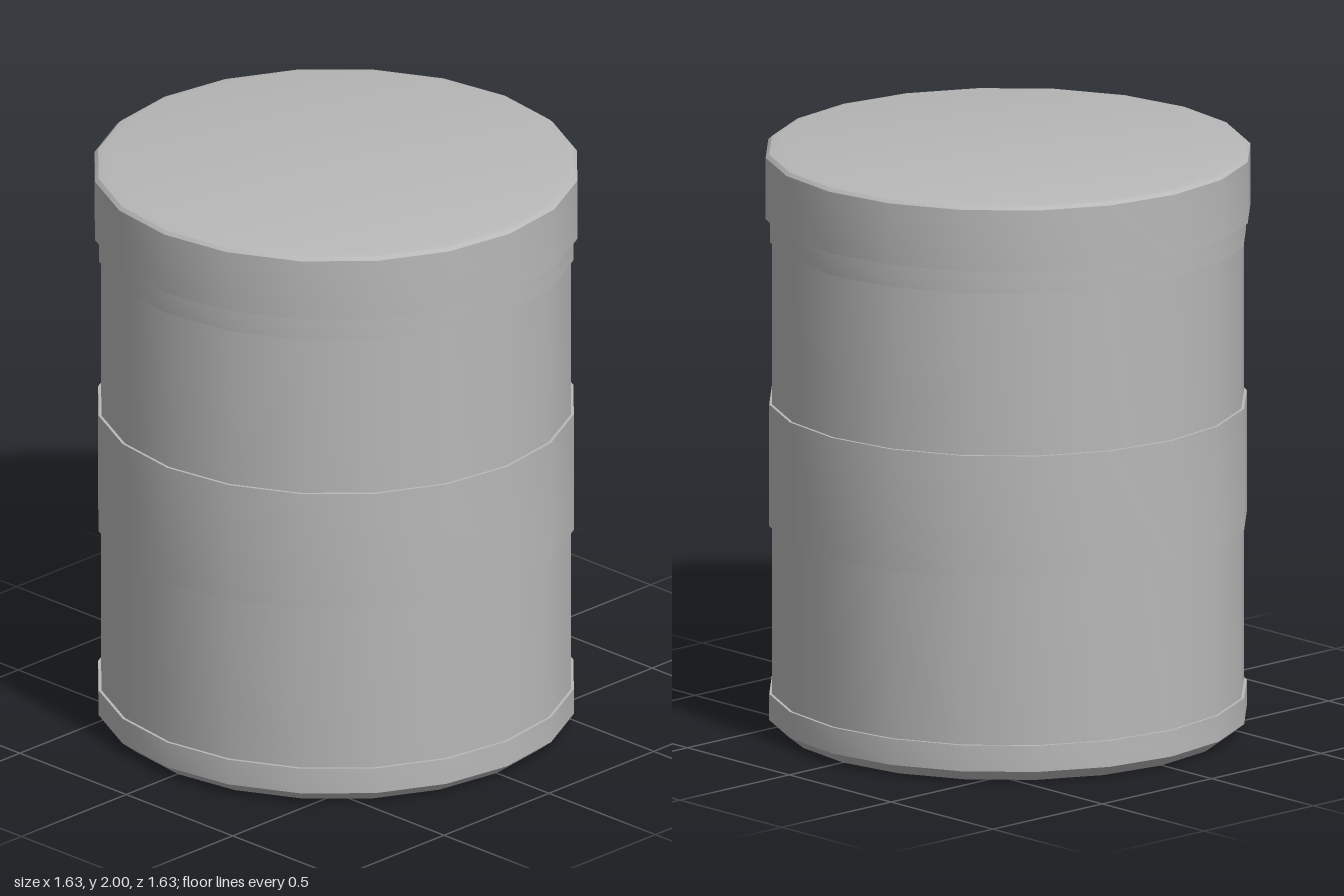
import * as THREE from 'three';
import { toCreasedNormals } from 'three/addons/utils/BufferGeometryUtils.js';

const SIDES = 20;

export function createModel() {
  const group = new THREE.Group();
  group.name = 'canister';
  const grey = new THREE.MeshStandardMaterial({ color: 0xb8b8b8 });
  grey.name = 'grey';

  // Turned part from [radius, height] points, bottom to top
  function turned(name, profile) {
    const points = profile.map(([r, y]) => new THREE.Vector2(r, y));
    const geometry = toCreasedNormals(new THREE.LatheGeometry(points, SIDES), 0.5);
    const mesh = new THREE.Mesh(geometry, grey);
    mesh.name = name;
    group.add(mesh);
    return mesh;
  }

  // Foot ring with a chamfered lower edge
  turned('base', [[0.755, 0], [0.805, 0.04], [0.805, 0.13], [0.78, 0.13]]);
  // Straight wall
  turned('body', [[0.795, 0.13], [0.795, 1.69]]);
  // Raised band around the middle
  turned('labelBand', [[0.785, 0.71], [0.805, 0.71], [0.805, 1.13], [0.785, 1.13]]);
  // Step below the lid
  turned('neck', [[0.785, 1.69], [0.803, 1.69], [0.803, 1.77]]);
  // Lid with a softened upper rim
  turned('lid', [[0.785, 1.77], [0.817, 1.77], [0.817, 1.982], [0.805, 1.993], [0.77, 2], [0, 2]]);

  // Underside with a shallow round recess, slightly off centre
  const holeX = 0.06, holeZ = 0.03, holeR = 0.38;
  const disc = new THREE.Shape();
  const hole = new THREE.Path();
  for (let i = 0; i < SIDES; i++) {
    const a = (i / SIDES) * Math.PI * 2;
    const c = Math.cos(a), s = Math.sin(a);
    disc[i ? 'lineTo' : 'moveTo'](0.755 * c, 0.755 * s);
    hole[i ? 'lineTo' : 'moveTo'](holeX + holeR * c, holeZ + holeR * s);
  }
  disc.holes.push(hole);
  const underside = new THREE.Mesh(new THREE.ShapeGeometry(disc).rotateX(Math.PI / 2), grey);
  underside.name = 'underside';
  group.add(underside);

  const recess = turned('undersideRecess', [[0, 0.07], [0.3, 0.06], [holeR, 0]]);
  recess.position.set(holeX, 0, holeZ);

  return group;
}
